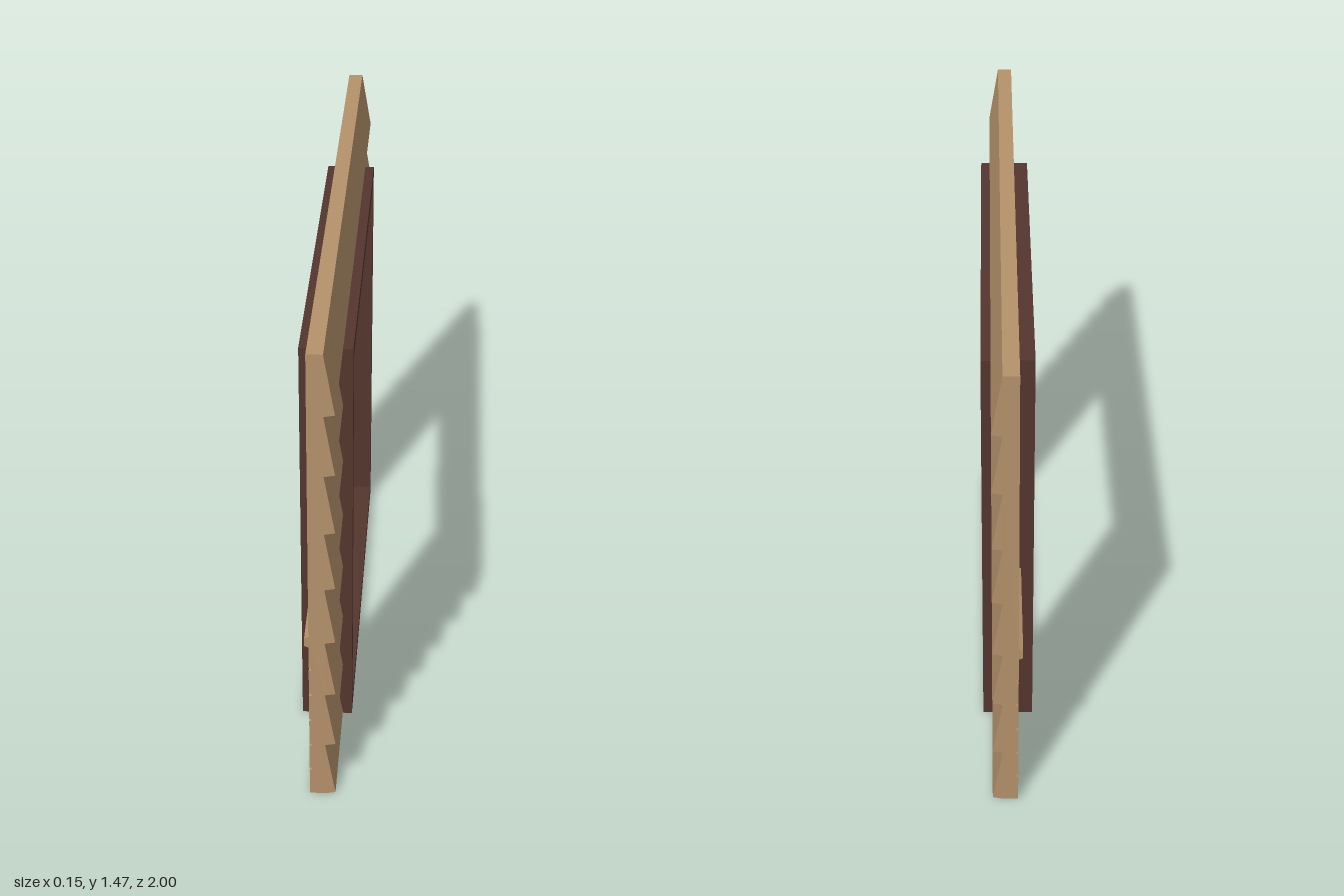
import * as THREE from 'three';

const wood = new THREE.MeshStandardMaterial({ color: 0xb5926b });
const darkWood = new THREE.MeshStandardMaterial({ color: 0x54362e });
const plaster = new THREE.MeshStandardMaterial({ color: 0x8a99a8 });

const BACK = -0.028, INNER = 0.017, OUTER = 0.047;
const PITCH = 1.467 / 8, BOARDS = 8;
const Z0 = -0.625, Z1 = 0.637;          // doorway edges
const FRAME_TOP = 1.285;

// Extrudes an x-y outline along z between two positions
function extrudeZ(name, points, z0, z1) {
  const shape = new THREE.Shape(points.map(([x, y]) => new THREE.Vector2(x, y)));
  const geo = new THREE.ExtrudeGeometry(shape, { depth: z1 - z0, bevelEnabled: false });
  geo.translate(0, 0, z0);
  const mesh = new THREE.Mesh(geo, wood);
  mesh.name = name;
  return mesh;
}

// Sawtooth outline of overlapping boards on the outer side
function siding(first, last) {
  const pts = [];
  for (let i = first; i < last; i++) {
    const y = i * PITCH;
    pts.push([INNER, y], [OUTER, y + 0.006]);
  }
  pts.push([INNER, last * PITCH]);
  return pts;
}

// Inner side, from top to bottom: chair rail, then grooved panelling
function wainscot() {
  const pts = [[BACK, 0.572], [-0.04, 0.566], [-0.04, 0.54], [BACK, 0.535]];
  for (let i = 5; i > 0; i--) {
    const y = i * 0.0915;
    pts.push([BACK, y + 0.005], [BACK + 0.007, y + 0.003], [BACK + 0.007, y - 0.003], [BACK, y - 0.005]);
  }
  return pts;
}

// Painted face above the panelling
function paint(name, y0, y1, z0, z1) {
  const mesh = new THREE.Mesh(new THREE.PlaneGeometry(z1 - z0, y1 - y0), plaster);
  mesh.rotation.y = -Math.PI / 2;
  mesh.position.set(BACK - 0.0006, (y0 + y1) / 2, (z0 + z1) / 2);
  mesh.name = name;
  return mesh;
}

export function createModel() {
  const group = new THREE.Group();
  group.name = 'doorwayWall';
  const headY = (BOARDS - 1) * PITCH;

  // Wall on both sides of the doorway
  for (const [side, z0, z1] of [['front', Z1, 1], ['rear', -1, Z0]]) {
    const outline = [...siding(0, BOARDS - 1), [BACK, headY], ...wainscot(), [BACK, 0]];
    group.add(extrudeZ(side + 'Wall', outline, z0, z1));
    group.add(paint(side + 'Plaster', 0.572, headY, z0, z1));
  }

  // Board across the top
  const header = [...siding(BOARDS - 1, BOARDS), [BACK, BOARDS * PITCH], [BACK, headY]];
  group.add(extrudeZ('headerWall', header, -1, 1));
  group.add(paint('headerPlaster', headY, BOARDS * PITCH, -1, 1));

  // Door frame with its opening
  const rect = (Type, a, b, c, d) => new Type([
    new THREE.Vector2(a, b), new THREE.Vector2(c, b),
    new THREE.Vector2(c, d), new THREE.Vector2(a, d)]);
  const shape = rect(THREE.Shape, -Z1, 0, -Z0, FRAME_TOP);
  shape.holes.push(rect(THREE.Path, -Z1 + 0.038, 0.038, -Z0 - 0.038, FRAME_TOP - 0.038));
  const geo = new THREE.ExtrudeGeometry(shape, { depth: 0.152, bevelEnabled: false });
  geo.rotateY(Math.PI / 2).translate(-0.077, 0, 0);
  const frame = new THREE.Mesh(geo, darkWood);
  frame.name = 'doorFrame';
  group.add(frame);

  return group;
}
